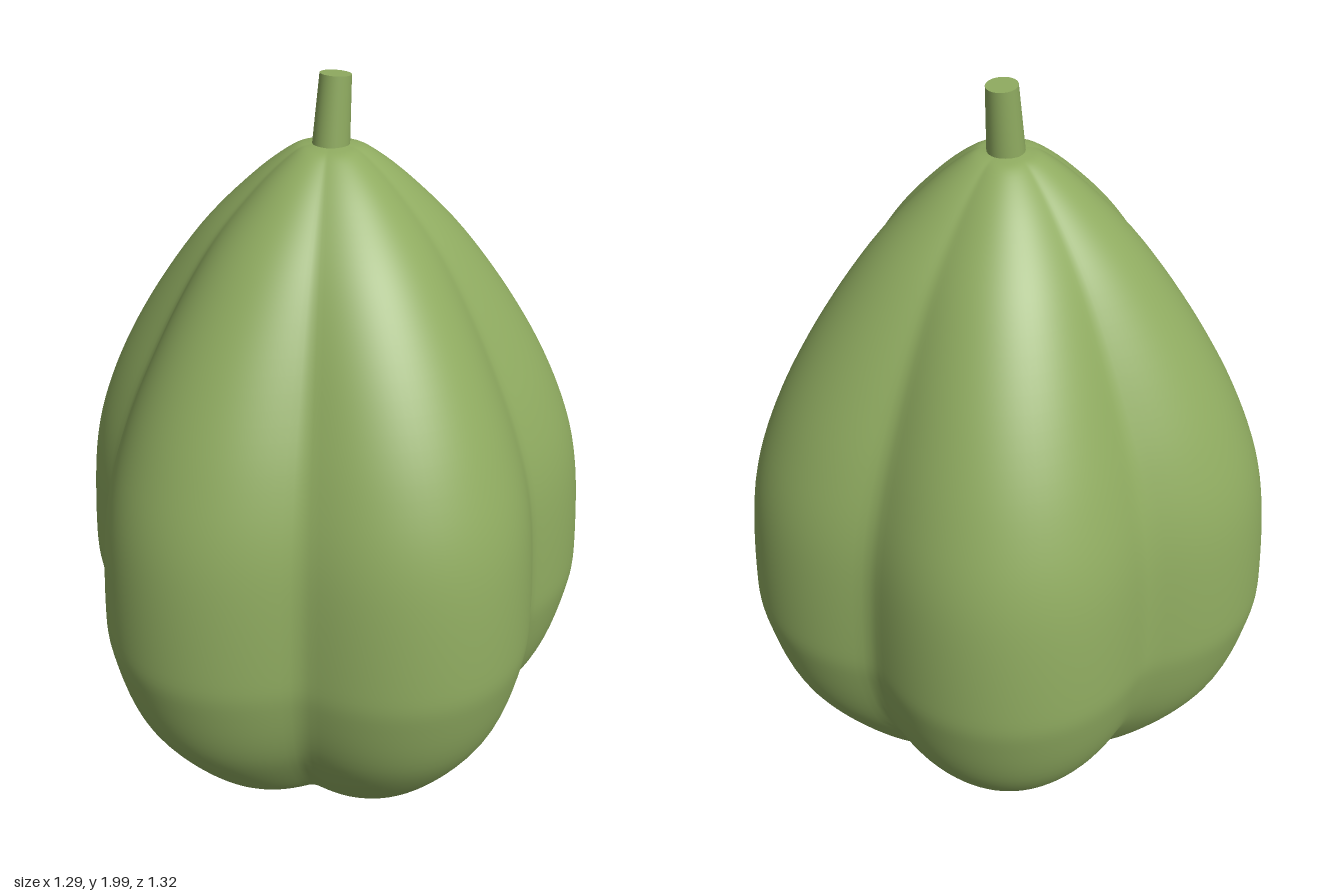
import * as THREE from 'three';
import { mergeVertices } from 'three/addons/utils/BufferGeometryUtils.js';

const AXIS_X = 0.03; // the fruit's axis sits slightly off centre
const LOBES = 5;

// Weld seams and poles so the shading is smooth all round
function smooth(geometry) {
  geometry.deleteAttribute('uv');
  geometry.deleteAttribute('normal');
  const welded = mergeVertices(geometry, 1e-5);
  welded.computeVertexNormals();
  return welded;
}

// Egg-shaped lathe pinched into rounded lobes with narrow grooves
function fruitGeometry() {
  const profile = new THREE.SplineCurve([
    [0, 0.005], [0.14, 0.028], [0.32, 0.1], [0.455, 0.2], [0.602, 0.4],
    [0.665, 0.6], [0.675, 0.74], [0.65, 1.0], [0.585, 1.2], [0.478, 1.4],
    [0.335, 1.6], [0.2, 1.74], [0.1, 1.82], [0.05, 1.838], [0, 1.84],
  ].map(([r, y]) => new THREE.Vector2(r, y))).getPoints(84);
  profile[0].x = 0;
  profile[profile.length - 1].x = 0;

  const geometry = new THREE.LatheGeometry(profile, 160);
  const p = geometry.attributes.position;
  for (let i = 0; i < p.count; i++) {
    const x = p.getX(i), y = p.getY(i), z = p.getZ(i);
    const s = Math.sin(Math.atan2(z, x) * LOBES / 2);
    const lobe = Math.sqrt((s * s + 0.012) / 1.012);
    // grooves deepen towards the base and fade near the stem
    const depth = 0.17 + 0.06 * (1 - THREE.MathUtils.smoothstep(y, 0, 0.6))
      - 0.06 * THREE.MathUtils.smoothstep(y, 1.3, 1.84);
    const k = 1 - depth * (1 - lobe);
    p.setXYZ(i, x * k, y, z * k);
  }
  return smooth(geometry);
}

export function createModel() {
  const green = new THREE.MeshStandardMaterial({ color: 0x8fab60 });
  green.name = 'fruit green';
  const group = new THREE.Group();
  group.name = 'ribbedFruit';

  const fruit = new THREE.Mesh(fruitGeometry(), green);
  fruit.name = 'fruit';
  fruit.position.x = AXIS_X;
  group.add(fruit);

  // Short tapered stem leaning to +x
  const stem = new THREE.Mesh(new THREE.CylinderGeometry(0.037, 0.045, 0.18, 32), green);
  stem.name = 'stem';
  stem.position.set(0.039, 1.907, 0);
  stem.rotation.z = -0.09;
  group.add(stem);

  return group;
}
